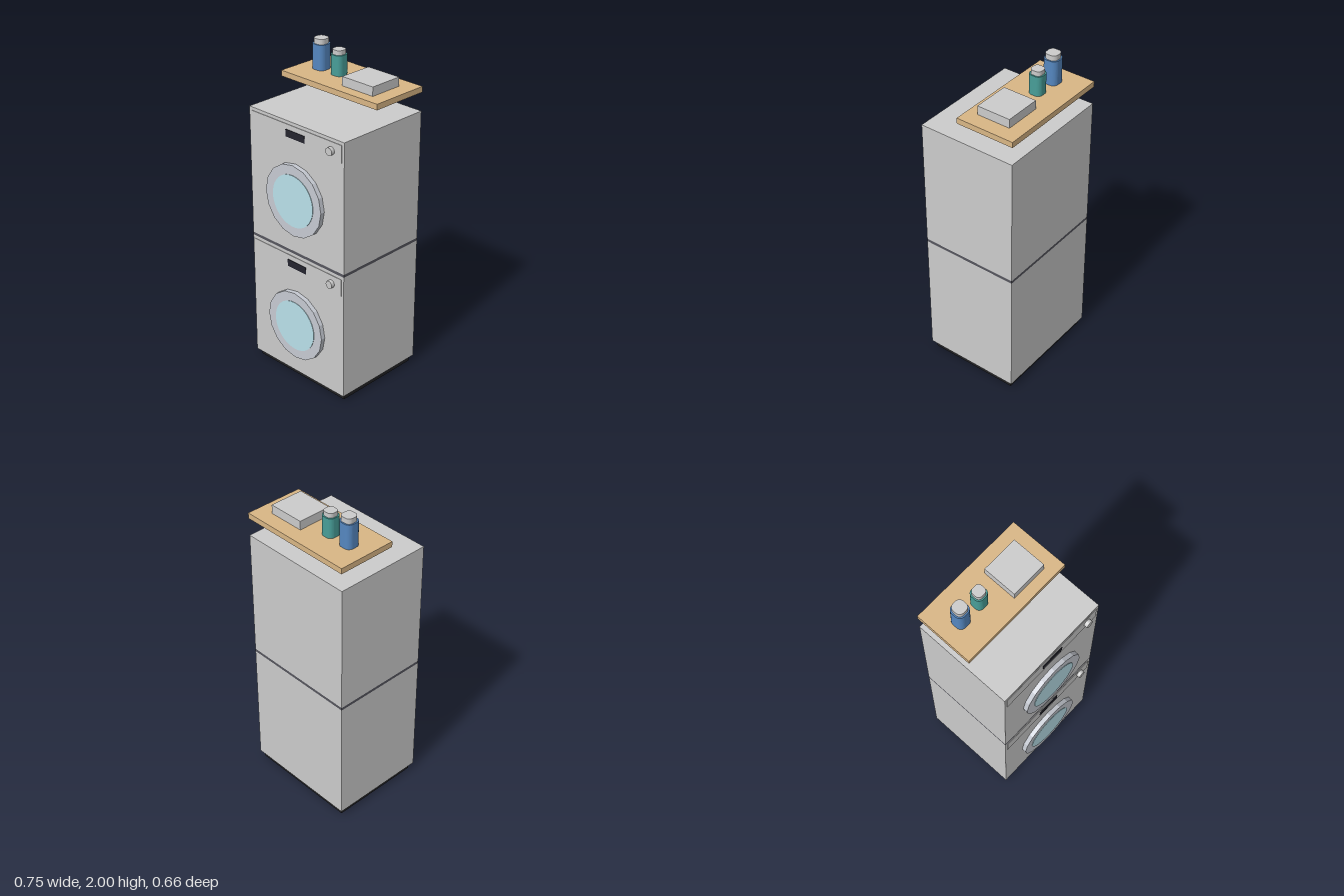
import * as THREE from 'three';

const mat = (color = 0xcccccc, flatShading = false) => new THREE.MeshStandardMaterial({ color, flatShading });
const grey = mat();
const wood = mat(0xd9b685);
const black = mat(0x222224);
const displayDark = mat(0x24242e);
const seamDark = mat(0x56565e);
const doorGrey = mat(0xc6cad2, true);
const glass = mat(0xb9e0ea);
const blue = mat(0x5587c0);
const teal = mat(0x489e98);

function add(parent, name, geometry, material) {
  const mesh = new THREE.Mesh(geometry, material);
  mesh.name = name;
  parent.add(mesh);
  return mesh;
}

// Box given by its lower and upper limits on each axis
function box(parent, name, [x0, x1], [y0, y1], [z0, z1], material) {
  const mesh = add(parent, name, new THREE.BoxGeometry(x1 - x0, y1 - y0, z1 - z0), material);
  mesh.position.set((x0 + x1) / 2, (y0 + y1) / 2, (z0 + z1) / 2);
}

// Round part whose axis points to the front
function disc(parent, name, x, y, r, z0, z1, sides, material) {
  const geometry = new THREE.CylinderGeometry(r, r, z1 - z0, sides).rotateX(Math.PI / 2);
  add(parent, name, geometry, material).position.set(x, y, (z0 + z1) / 2);
}

// Upright prism with a rounded square section
function roundedPrism(parent, name, half, y0, y1, material) {
  const r = half * 0.72, c = half - r;
  const shape = new THREE.Shape();
  shape.absarc(c, c, r, 0, Math.PI / 2);
  shape.absarc(-c, c, r, Math.PI / 2, Math.PI);
  shape.absarc(-c, -c, r, Math.PI, Math.PI * 1.5);
  shape.absarc(c, -c, r, Math.PI * 1.5, Math.PI * 2);
  const geometry = new THREE.ExtrudeGeometry(shape, { depth: y1 - y0, bevelEnabled: false, curveSegments: 6 });
  add(parent, name, geometry.rotateX(-Math.PI / 2), material).position.y = y0;
}

// One appliance with its base at the given height
function machine(name, y) {
  const g = new THREE.Group();
  g.name = name;
  g.position.y = y;
  const front = 0.297, controlY = 0.732, doorY = 0.34;
  box(g, 'cabinet', [-0.373, 0.373], [0, 0.805], [-0.325, front], grey);
  box(g, 'controlPanel', [-0.355, 0.355], [controlY - 0.053, controlY + 0.053], [front - 0.01, 0.3], grey);
  box(g, 'display', [-0.075, 0.075], [controlY - 0.022, controlY + 0.022], [front, 0.303], displayDark);
  disc(g, 'knob', 0.279, controlY, 0.024, front, 0.322, 16, grey);
  disc(g, 'doorRing', 0, doorY, 0.222, front - 0.005, 0.325, 16, doorGrey);
  disc(g, 'doorGlass', 0, doorY, 0.161, 0.31, 0.328, 40, glass);
  return g;
}

function bottle(name, x, half, capHalf, shoulderY, topY, material) {
  const g = new THREE.Group();
  g.name = name;
  g.position.set(x, 0, -0.143);
  roundedPrism(g, 'bottleBody', half, 1.815, shoulderY, material);
  roundedPrism(g, 'bottleCap', capHalf, shoulderY, topY, grey);
  return g;
}

export function createModel() {
  const model = new THREE.Group();
  model.name = 'stackedLaundry';

  // Stacked appliances on a recessed plinth
  box(model, 'plinth', [-0.355, 0.355], [0, 0.04], [-0.307, 0.272], black);
  model.add(machine('lowerMachine', 0.04));
  box(model, 'stackingSeam', [-0.373, 0.373], [0.845, 0.863], [-0.325, 0.297], seamDark);
  model.add(machine('upperMachine', 0.863));

  // Shelf with its contents
  box(model, 'shelf', [-0.373, 0.373], [1.78, 1.815], [-0.328, 0.045], wood);
  model.add(bottle('tallBottle', -0.235, 0.046, 0.038, 1.968, 2.0, blue));
  model.add(bottle('shortBottle', -0.094, 0.042, 0.034, 1.938, 1.966, teal));
  box(model, 'storageBox', [0.047, 0.279], [1.815, 1.87], [-0.236, -0.022], grey);

  return model;
}
